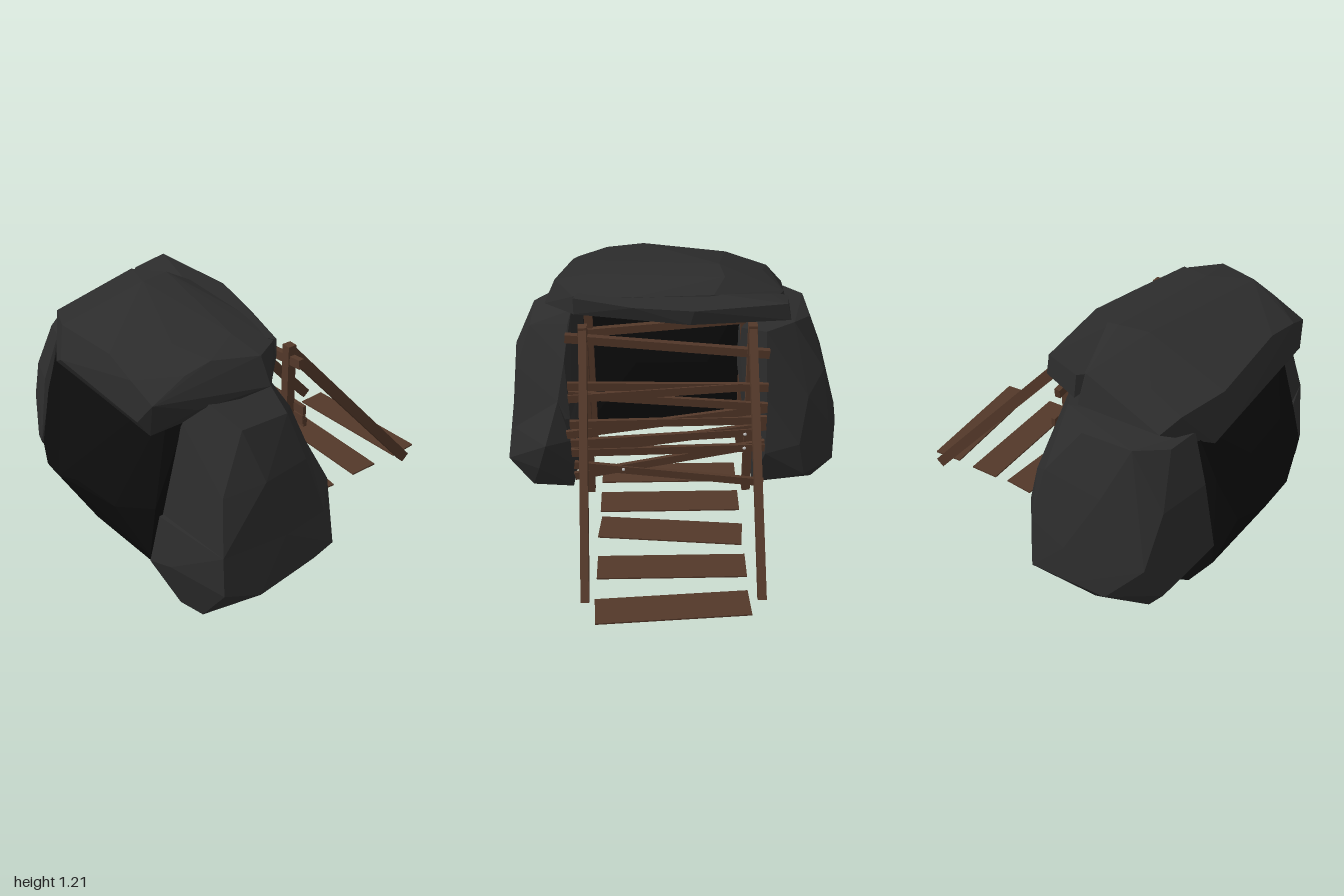
import * as THREE from 'three';
import { ConvexGeometry } from 'three/addons/geometries/ConvexGeometry.js';

const rockMat = new THREE.MeshStandardMaterial({ color: 0x2c2c2c, flatShading: true });
const darkRockMat = new THREE.MeshStandardMaterial({ color: 0x0c0c0c, flatShading: true });
const woodMat = new THREE.MeshStandardMaterial({ color: 0x533829, flatShading: true });
const nailMat = new THREE.MeshStandardMaterial({ color: 0xcccccc });
const v = (x, y, z) => new THREE.Vector3(x, y, z);

export function createModel() {
  const model = new THREE.Group();
  model.name = 'mineEntrance';

  const add = (name, geometry, material) => {
    const mesh = new THREE.Mesh(geometry, material);
    mesh.name = name;
    model.add(mesh);
    return mesh;
  };

  // Faceted boulder spanned by its corner points
  const rock = (name, corners, material = rockMat) =>
    add(name, new ConvexGeometry(corners.map((c) => v(...c))), material);

  // Timber running from a to b: w is its visible width, d its depth
  const beam = (name, a, b, w, d) => {
    const dir = b.clone().sub(a);
    const mesh = add(name, new THREE.BoxGeometry(d, w, dir.length()), woodMat);
    mesh.position.copy(a).add(b).multiplyScalar(0.5);
    const z = dir.normalize();
    const side = Math.abs(z.x) > 0.3 ? v(0, 0, 1) : v(1, 0, 0);
    const y = z.clone().cross(side).normalize();
    mesh.quaternion.setFromRotationMatrix(
      new THREE.Matrix4().makeBasis(y.clone().cross(z), y, z));
    return mesh;
  };

  // Boulder on the front side of the opening: a wide foot and a narrower head
  rock('frontRockFoot', [
    [-0.72, 0, 0.74], [-0.76, 0.01, 0.62], [-0.45, 0, 0.78], [-0.07, 0.02, 0.77], [-0.06, 0.01, 0.55],
    [-0.72, 0.03, 0.5], [-0.7, 0.2, 0.88], [-0.52, 0.14, 0.915], [-0.28, 0.16, 0.9], [-0.07, 0.2, 0.89],
    [-0.84, 0.22, 0.5], [-0.81, 0.25, 0.62], [0.0, 0.2, 0.54], [0.03, 0.2, 0.72],
    [0.08, 0.38, 0.67], [0.03, 0.38, 0.54], [-0.1, 0.38, 0.85], [-0.35, 0.38, 0.88], [-0.69, 0.4, 0.86],
    [-0.78, 0.45, 0.5], [-0.01, 0.6, 0.6],
  ]);
  rock('frontRockHead', [
    [-0.78, 0.4, 0.48], [-0.69, 0.4, 0.86], [-0.35, 0.38, 0.88], [-0.1, 0.38, 0.85], [0.0, 0.5, 0.54],
    [-0.01, 0.6, 0.6], [-0.2, 0.7, 0.82], [-0.45, 0.7, 0.85], [-0.64, 0.66, 0.79],
    [-0.67, 0.82, 0.48], [-0.08, 0.8, 0.56], [-0.25, 0.92, 0.74], [-0.5, 0.93, 0.74],
    [-0.18, 0.96, 0.54], [-0.22, 1.02, 0.52], [-0.57, 1.02, 0.52], [-0.64, 0.9, 0.5],
  ]);

  // Boulder on the far side of the opening
  rock('rearRock', [
    [-0.7, 0.05, -0.48], [-0.65, 0.04, -0.7], [-0.4, 0.03, -0.78], [-0.1, 0.03, -0.76], [-0.05, 0.03, -0.43],
    [-0.75, 0.2, -0.75], [-0.53, 0.2, -0.9], [-0.36, 0.22, -0.92], [-0.1, 0.15, -0.87],
    [0.03, 0.14, -0.7], [0.06, 0.3, -0.48], [0.05, 0.35, -0.66], [-0.86, 0.35, -0.48],
    [-0.7, 0.4, -0.84], [-0.3, 0.38, -0.89], [-0.08, 0.4, -0.83],
    [-0.45, 0.55, -0.36], [-0.45, 0.78, -0.36],
    [0.01, 0.62, -0.48], [-0.03, 0.6, -0.7], [-0.14, 0.7, -0.79], [-0.45, 0.68, -0.81], [-0.72, 0.66, -0.72],
    [-0.8, 0.7, -0.49], [-0.08, 0.96, -0.47], [-0.16, 0.97, -0.62], [-0.3, 0.93, -0.72],
    [-0.55, 0.93, -0.71], [-0.68, 0.92, -0.6], [-0.72, 0.94, -0.46],
  ]);

  // Bulging dark wall that closes the back of the passage
  rock('backWall', [
    [-0.74, 0.06, -0.48], [-0.74, 0.07, 0.45], [-0.62, 0.03, 0.5], [-0.62, 0.03, -0.5],
    [-0.82, 0.22, 0.47], [-0.85, 0.22, -0.46], [-0.88, 0.24, 0.1], [-0.91, 0.44, -0.35],
    [-0.97, 0.42, -0.18], [-1.0, 0.47, -0.02], [-0.97, 0.5, 0.1], [-0.91, 0.46, 0.33], [-0.8, 0.5, 0.5],
    [-0.87, 0.7, 0.14], [-0.87, 0.7, -0.18], [-0.82, 0.68, -0.42], [-0.77, 0.87, 0.3],
    [-0.77, 0.87, -0.35], [-0.7, 0.98, -0.45], [-0.68, 0.98, 0.45], [-0.58, 1.02, 0.5], [-0.58, 1.02, -0.45],
    [-0.55, 0.5, 0.2], [-0.55, 0.5, -0.2],
  ], darkRockMat);

  // Roof: a heavy mass along the back and a thin lip over the mouth
  rock('roofMass', [
    [-0.62, 1.13, 0.5], [-0.5, 1.17, 0.52], [-0.29, 1.16, 0.6], [-0.28, 1.03, 0.66], [-0.14, 1.14, 0.5],
    [-0.12, 1.05, 0.5], [-0.1, 1.15, 0.2], [-0.08, 1.06, 0.2], [-0.1, 1.16, -0.2], [-0.1, 1.06, -0.45],
    [-0.2, 1.21, -0.26], [-0.35, 1.21, -0.24], [-0.3, 1.185, 0.4], [-0.55, 1.17, 0.3],
    [-0.22, 1.12, -0.56], [-0.2, 0.97, -0.6], [-0.12, 1.0, -0.45], [-0.5, 1.1, -0.48], [-0.68, 1.04, -0.52],
    [-0.78, 1.13, 0.15], [-0.8, 1.1, 0.35], [-0.77, 1.08, -0.3], [-0.82, 0.93, -0.25],
    [-0.79, 1.04, 0.5], [-0.82, 0.93, 0.42], [-0.78, 0.85, -0.38], [-0.77, 0.85, 0.44],
    [-0.62, 0.97, -0.6], [-0.6, 0.98, 0.56],
  ]);
  rock('roofLip', [
    [-0.3, 1.17, 0.4], [-0.12, 1.14, 0.5], [-0.12, 1.05, 0.5], [-0.03, 1.13, 0.2], [-0.05, 1.06, 0.2],
    [0.03, 1.14, -0.1], [0.02, 1.06, -0.08], [-0.02, 1.15, -0.56], [-0.02, 1.06, -0.58],
    [-0.18, 1.11, -0.58], [-0.18, 1.0, -0.6], [-0.3, 1.1, -0.45], [-0.3, 1.0, 0.3],
  ]);

  // Post pairs at the mouth and deeper in, and the sloping props outside
  for (const z of [0.45, -0.39]) {
    for (const x of [0, -0.43]) beam('post', v(x, 0.03, z), v(x, 1.05, z), 0.045, 0.045);
    beam('prop', v(0.0, 1.02, z), v(0.87, 0.04, z - 0.01), 0.055, 0.04);
  }

  // Boards across the mouth: z and y of one end, then of the other
  const boards = [
    [0.54, 0.72, -0.48, 0.7], [0.54, 0.65, -0.35, 0.71], [0.54, 0.67, -0.48, 0.58],
    [0.54, 0.49, -0.48, 0.505], [0.56, 0.42, -0.48, 0.57], [0.54, 0.37, -0.44, 0.43],
    [0.54, 0.31, -0.48, 0.46], [0.54, 0.31, -0.48, 0.33], [0.53, 0.15, -0.48, 0.35],
    [0.53, 0.23, -0.48, 0.095],
  ];
  boards.forEach(([z1, y1, z2, y2], i) => {
    const x = 0.03 + (i % 2) * 0.008;
    beam('board', v(x, y1, z1), v(x, y2, z2), 0.045, 0.02);
  });

  // Crossbeams that tie each pair of posts together
  beam('mouthCrossbeam', v(0.0, 0.985, 0.54), v(0.0, 0.88, -0.48), 0.045, 0.03);
  beam('innerCrossbeam', v(-0.41, 0.775, 0.54), v(-0.41, 0.86, -0.46), 0.045, 0.03);

  // Nail heads
  for (const [y, z] of [[0.2, 0.27], [0.33, -0.37], [0.42, -0.37], [0.575, -0.42]]) {
    add('nail', new THREE.SphereGeometry(0.012, 8, 6), nailMat).position.set(0.042, y, z);
  }

  // Walkway planks, some of them askew: x and turn
  for (const [x, turn] of [[-0.14, 0], [0.11, 0], [0.35, -0.1], [0.62, 0], [0.9, 0.06]]) {
    const plank = add('walkwayPlank', new THREE.BoxGeometry(0.16, 0.008, 0.735), woodMat);
    plank.position.set(x, 0.03, 0.025);
    plank.rotation.y = turn;
  }

  return model;
}
